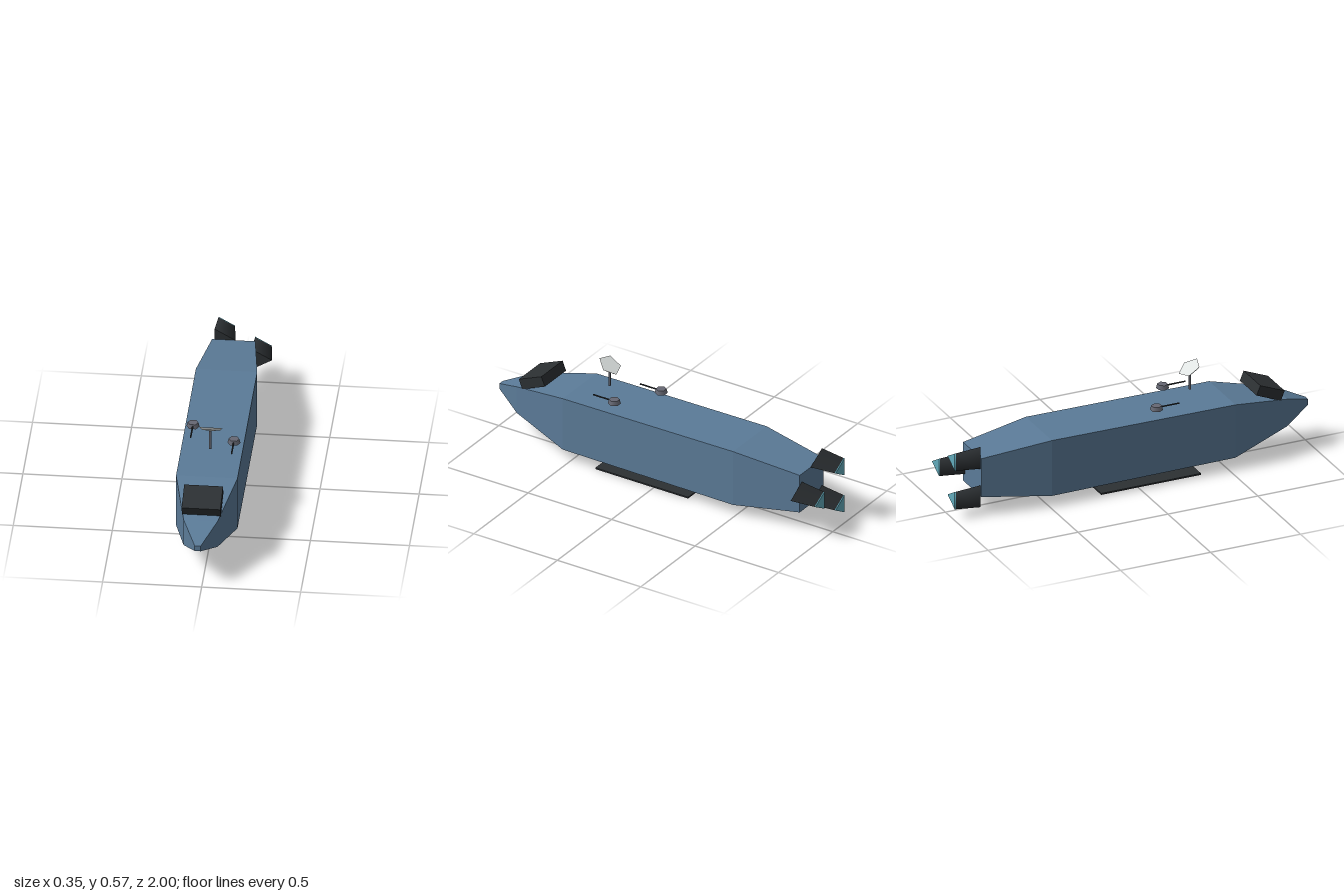
import * as THREE from 'three';

const mat = (name, color) => {
  const m = new THREE.MeshStandardMaterial({ color });
  m.name = name;
  return m;
};

export function createModel() {
  const hullBlue = mat('hull blue', 0x5b7b98);
  const charcoal = mat('charcoal', 0x2c3033);
  const gunGrey = mat('gun grey', 0x666873);
  const dishWhite = mat('dish white', 0xdfe3e2);
  const glowTeal = mat('glow teal', 0x62aabb);

  const CX = -0.02; // hull centre line
  const ship = new THREE.Group();
  ship.name = 'ship';
  const add = (name, geo, material, x, y, z, parent = ship) => {
    const mesh = new THREE.Mesh(geo, material);
    mesh.name = name;
    mesh.position.set(x, y, z);
    parent.add(mesh);
    return mesh;
  };
  // Cylinder whose first corner points to +x
  const prism = (rTop, rBottom, h, sides) =>
    new THREE.CylinderGeometry(rTop, rBottom, h, sides, 1, false, Math.PI / 2);

  // Hull: a box reshaped at five stations [z, half width, bottom, top]
  const stations = [
    [-0.86, 0.109, 0.11, 0.323],
    [-0.49, 0.155, 0.062, 0.369],
    [0.53, 0.155, 0.069, 0.362],
    [0.85, 0.086, 0.15, 0.3],
    [1.0, 0.015, 0.21, 0.24],
  ];
  const box = new THREE.BoxGeometry(2, 2, 4, 1, 1, 4);
  const p = box.attributes.position;
  for (let i = 0; i < p.count; i++) {
    const [z, half, bottom, top] = stations[Math.round(p.getZ(i) + 2)];
    p.setXYZ(i, p.getX(i) * half, p.getY(i) > 0 ? top : bottom, z);
  }
  const hullGeo = box.toNonIndexed();
  hullGeo.computeVertexNormals();
  add('hull', hullGeo, hullBlue, CX, 0, 0);

  // Tilted bridge on the bow, and the flat bay plate below the hull
  const bridge = add('bridge', new THREE.BoxGeometry(0.196, 0.055, 0.146), charcoal, CX, 0.358, 0.752);
  bridge.rotation.x = 0.39;
  add('bayPlate', new THREE.BoxGeometry(0.262, 0.008, 0.555), charcoal, CX, 0.004, 0.072);

  // Three engines in a ring, each with a glowing end
  for (let i = 0; i < 3; i++) {
    const a = (i * Math.PI * 2) / 3;
    const engine = new THREE.Group();
    engine.name = 'engine';
    engine.position.set(CX + 0.123 * Math.cos(a), 0.216 + 0.123 * Math.sin(a), 0);
    ship.add(engine);
    add('nozzle', prism(0.056, 0.07, 0.134, 3).rotateX(-Math.PI / 2), charcoal, 0, 0, -0.927, engine);
    add('engineGlow', prism(0.056, 0.056, 0.007, 3).rotateX(-Math.PI / 2), glowTeal, 0, 0, -0.9965, engine);
  }

  // Gun turrets
  for (const [x, z] of [[-0.13, 0.112], [0.09, 0.25]]) {
    const turret = new THREE.Group();
    turret.name = 'turret';
    turret.position.set(x, 0.4, z);
    ship.add(turret);
    add('turretBase', prism(0.027, 0.033, 0.023, 6), gunGrey, 0, 0.0115, 0, turret);
    const barrel = new THREE.CylinderGeometry(0.004, 0.004, 0.126, 8).rotateX(Math.PI / 2);
    add('barrel', barrel, charcoal, 0, 0.0115, 0.063, turret);
  }

  // Antenna: mast and a tilted five-sided dish
  add('mast', new THREE.CylinderGeometry(0.0065, 0.0065, 0.105, 8), gunGrey, CX, 0.4725, 0.35);
  const dish = new THREE.Group();
  dish.name = 'dish';
  dish.position.set(CX, 0.54, 0.347);
  dish.rotation.x = -0.56;
  ship.add(dish);
  const bowl = [[0, -0.016], [0.05, -0.012], [0.063, 0]].map(([r, y]) => new THREE.Vector2(r, y));
  add('dishBack', new THREE.LatheGeometry(bowl, 5, Math.PI / 2), dishWhite, 0, 0, 0, dish);
  add('dishFace', new THREE.CircleGeometry(0.063, 5).rotateX(-Math.PI / 2), dishWhite, 0, 0, 0, dish);

  return ship;
}
